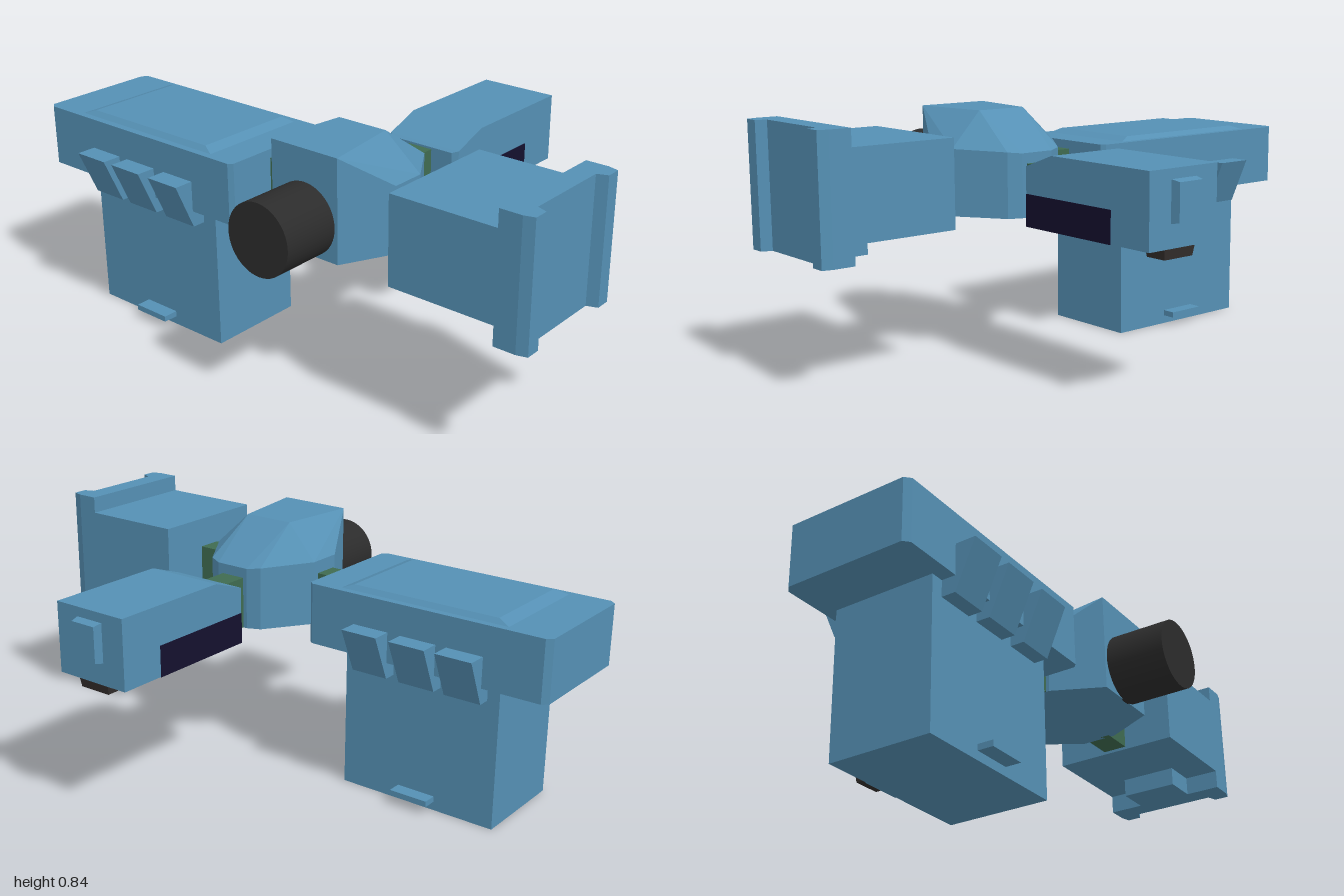
import * as THREE from 'three';
import { ConvexGeometry } from 'three/addons/geometries/ConvexGeometry.js';

const paint = (color) => new THREE.MeshStandardMaterial({ color });

export function createModel() {
  const model = new THREE.Group();
  const blue = paint(0x5590b4);
  const green = paint(0x3f6b50);
  const black = paint(0x2c2c2c);
  const navy = paint(0x14102e);
  const CX = -0.265; // centre line of the front and rear modules

  const add = (name, geometry, material = blue, parent = model) => {
    const mesh = new THREE.Mesh(geometry, material);
    mesh.name = name;
    parent.add(mesh);
    return mesh;
  };
  // Box from its limits on each axis
  const box = (x0, x1, y0, y1, z0, z1) =>
    new THREE.BoxGeometry(x1 - x0, y1 - y0, z1 - z0)
      .translate((x0 + x1) / 2, (y0 + y1) / 2, (z0 + z1) / 2);
  // Upright prism from a plan outline of [x, z] points
  const prism = (plan, y0, y1) => {
    const shape = new THREE.Shape(plan.map(([x, z]) => new THREE.Vector2(x, -z)));
    return new THREE.ExtrudeGeometry(shape, { depth: y1 - y0, bevelEnabled: false })
      .rotateX(-Math.PI / 2).translate(0, y0, 0);
  };
  // Convex faceted solid from its corners
  const hull = (points) => new ConvexGeometry(points.map((p) => new THREE.Vector3(...p)));
  const group = (name) => {
    const g = new THREE.Group();
    g.name = name;
    model.add(g);
    return g;
  };

  // Faceted central hub: upright walls with a sloping roof
  const walls = [
    [-0.32, 0.415, 0.72], [-0.2, 0.415, 0.72], [-0.04, 0.31, 0.715], [-0.02, 0.265, 0.71],
    [-0.02, 0.14, 0.71], [-0.04, 0.095, 0.715], [-0.2, -0.015, 0.72], [-0.32, -0.015, 0.72],
    [-0.49, 0.07, 0.838], [-0.49, 0.33, 0.838],
  ];
  add('hub', hull([
    ...walls.flatMap(([x, z, top]) => [[x, 0.495, z], [x, top, z]]),
    [-0.215, 0.838, 0.105], [-0.215, 0.838, 0.29],
  ]));

  // Round cap on the hub's side
  add('sideCylinder', new THREE.CylinderGeometry(0.119, 0.119, 0.21, 48)
    .rotateZ(Math.PI / 2).translate(-0.59, 0.612, 0.2), black);

  // Links between the hub and the three modules
  add('sideConnector', box(-0.03, 0.09, 0.495, 0.675, 0.155, 0.245), green);
  add('frontConnector', box(-0.308, -0.222, 0.495, 0.675, 0.4, 0.525), green);
  add('rearConnector', box(-0.308, -0.222, 0.495, 0.675, -0.115, 0), green);

  // Side module with a sloping nose
  const side = group('sideModule');
  const sidePoints = [];
  for (const s of [-1, 1]) {
    const at = (x, y, half) => sidePoints.push([x, y, 0.205 + s * half]);
    for (const [x, y] of [[0.1, 0.495], [0.66, 0.495], [0.66, 0.733], [0.225, 0.733], [0.1, 0.688]]) at(x, y, 0.14);
    at(0.085, 0.495, 0.122);
    at(0.085, 0.682, 0.122);
    add('sidePanel', box(0.1, 0.497, 0.494, 0.6, 0.205 + s * 0.14 - 0.002, 0.205 + s * 0.14 + 0.002), navy, side);
  }
  add('sideBody', hull(sidePoints), blue, side);
  const taper = (x, y, h, hz) => [-1, 1].flatMap((a) => [-1, 1].map((b) => [x, y + a * h, 0.205 + b * hz]));
  add('endTab', hull([...taper(0.655, 0.635, 0.067, 0.053), ...taper(0.69, 0.635, 0.06, 0.047)]), blue, side);
  const footRing = (y, hx, hz) => [-1, 1].flatMap((a) => [-1, 1].map((b) => [0.609 + a * hx, y, 0.21 + b * hz]));
  add('foot', hull([...footRing(0.497, 0.042, 0.064), ...footRing(0.46, 0.037, 0.058)]), paint(0x332e2c), side);

  // Front module: block, flange with two raised edges, and a lower block
  const front = group('frontModule');
  add('frontBody', box(-0.488, -0.042, 0.485, 0.78, 0.52, 0.9), blue, front);
  const ear = [[0.223, 0.89], [0.223, 0.965], [0.213, 1], [0.163, 1], [0.15, 0.965]];
  add('frontFlange', prism([
    ...ear.map(([x, z]) => [CX + x, z]),
    ...ear.slice().reverse().map(([x, z]) => [CX - x, z]),
  ].reverse(), 0.42, 0.838), blue, front);
  add('lowerBlock', box(CX - 0.1, CX + 0.1, 0.42, 0.49, 0.77, 0.895), blue, front);

  // Rear module: bevelled slab, raised lid and deep lower box
  const rear = group('rearModule');
  add('rearBody', prism([
    [-0.488, -0.125], [-0.475, -0.11], [-0.055, -0.11], [-0.042, -0.125],
    [-0.042, -0.98], [-0.06, -1], [-0.47, -1], [-0.488, -0.98],
  ], 0.495, 0.705), blue, rear);
  const lidRing = (y, hx, z0, z1) => [-1, 1].flatMap((s) => [[CX + s * hx, y, z0], [CX + s * hx, y, z1]]);
  add('rearLid', hull([...lidRing(0.703, 0.2, -0.85, -0.22), ...lidRing(0.72, 0.18, -0.8, -0.265)]), blue, rear);
  add('lowerBox', box(-0.44, -0.086, 0, 0.5, -0.82, -0.24), blue, rear);

  // Hooked brackets and bottom tabs on both flanks
  for (const s of [-1, 1]) {
    for (const z of [-0.71, -0.54, -0.36]) {
      const points = [];
      for (const dz of [-0.066, 0.066]) {
        for (const [x, y] of [[0.17, 0.6], [0.292, 0.6], [0.25, 0.582], [0.222, 0.44], [0.17, 0.44]])
          points.push([CX + s * x, y, z + dz]);
      }
      add('bracket', hull(points), blue, rear);
    }
    const x = CX + s * 0.2;
    add('bottomTab', box(x - 0.028, x + 0.028, 0.03, 0.05, -0.6, -0.46), blue, rear);
  }
  return model;
}
